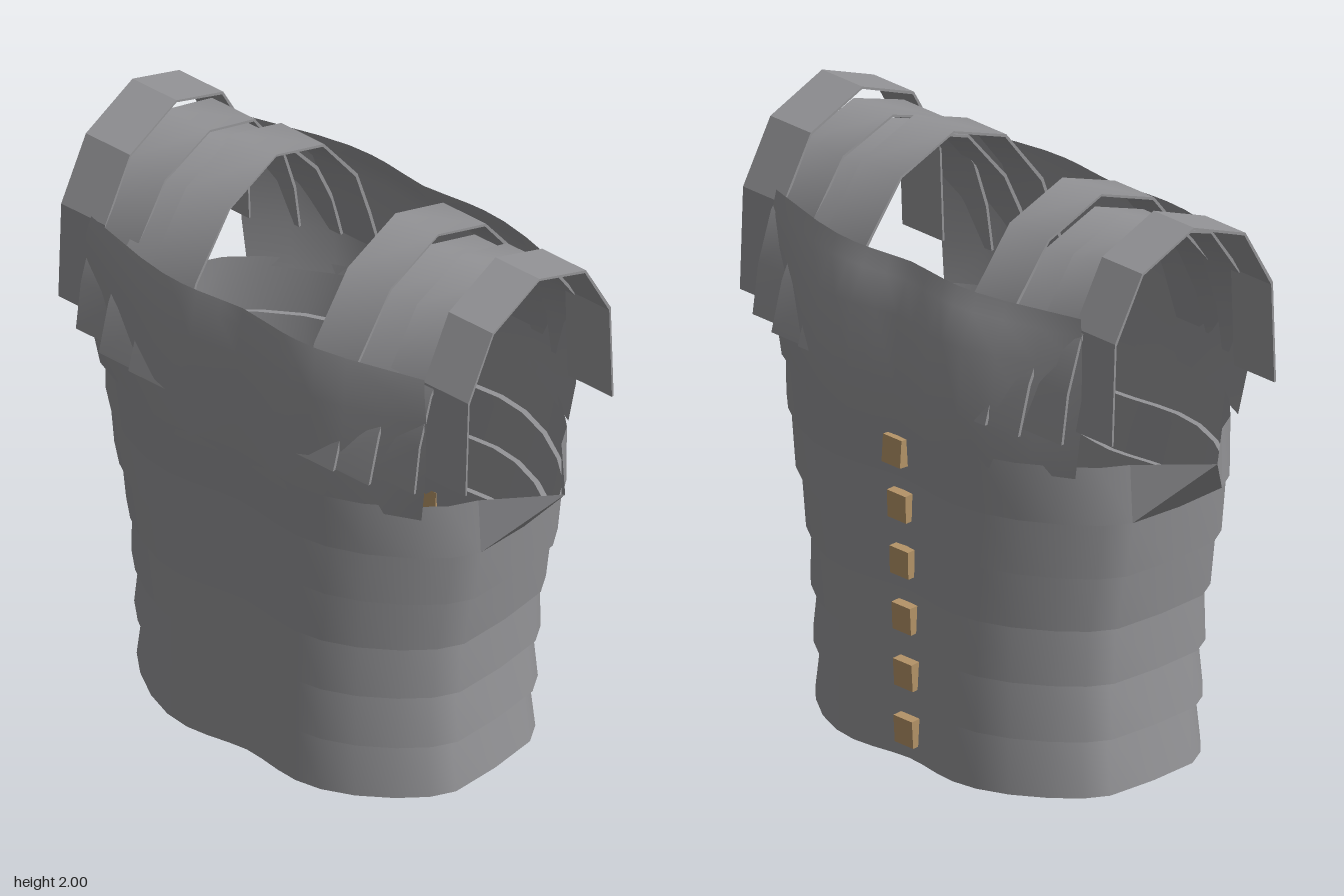
import * as THREE from 'three';
import { toCreasedNormals } from 'three/addons/utils/BufferGeometryUtils.js';

const ZC = 0.014; // depth centre of the body

const metal = () => new THREE.MeshStandardMaterial({ color: 0x949497, side: THREE.DoubleSide });

// Skin a sheet through rows of [x, y, z] points; closed joins each row into a ring.
function loft(name, rows, closed, skip = []) {
  const n = rows[0].length, index = [];
  for (let r = 0; r < rows.length - 1; r++) {
    for (let i = 0; i < (closed ? n : n - 1); i++) {
      if (skip.includes(i)) continue;
      const a = r * n + i, b = r * n + (i + 1) % n;
      index.push(a, b, a + n, b, b + n, a + n);
    }
  }
  const g = new THREE.BufferGeometry();
  g.setAttribute('position', new THREE.Float32BufferAttribute(rows.flat(2), 3));
  g.setIndex(index);
  g.computeVertexNormals();
  const mesh = new THREE.Mesh(g, metal());
  mesh.name = name;
  return mesh;
}

// Quarter of the waist outline, from the dented centre front round to the side
const QUARTER = [[0, 0.94], [0.1, 0.955], [0.22, 0.985], [0.34, 1], [0.48, 0.97], [0.64, 0.875],
  [0.8, 0.72], [0.92, 0.555], [0.985, 0.39], [1, 0]];
const LAST = QUARTER.length - 1;

function ring(w, d, y) {
  const half = [...QUARTER, ...QUARTER.slice(0, -1).reverse().map(([x, z]) => [x, -z])];
  const full = [...half, ...half.slice(1, -1).reverse().map(([x, z]) => [-x, z])];
  return full.map(([x, z]) => [x * w, y, z * d + ZC]);
}

// Girth bands: bottom width, top width, bottom depth, top depth (halves)
const BANDS = [
  [0.67, 0.645, 0.468, 0.455],
  [0.68, 0.66, 0.471, 0.457],
  [0.69, 0.69, 0.477, 0.466],
  [0.71, 0.74, 0.485, 0.48],
  [0.757, 0.785, 0.498, 0.49],
  [0.79, 0.785, 0.51, 0.525],
];

// Chest and back plates: y, half width, edge depth, greatest depth
const CHEST = [[1.17, 0.675, 0.385, 0.535], [1.33, 0.703, 0.4, 0.537], [1.57, 0.717, 0.41, 0.53],
  [1.68, 0.71, 0.41, 0.51], [1.74, 0.7, 0.4, 0.495]];
const BACK = [[1.17, 0.675, 0.34, 0.525], [1.33, 0.703, 0.345, 0.535], [1.57, 0.717, 0.35, 0.52],
  [1.68, 0.71, 0.345, 0.465], [1.74, 0.7, 0.34, 0.44]];
// Bulge across half a plate: position, share of the depth
const BULGE = [[0, 0.77], [0.12, 0.86], [0.25, 0.97], [0.34, 1], [0.46, 0.95], [0.62, 0.74], [0.8, 0.39], [1, 0]];

function plate(name, levels, dir) {
  const across = [...BULGE.slice(1).reverse().map(([t, f]) => [-t, f]), ...BULGE];
  return loft(name, levels.map(([y, w, edge, max]) =>
    across.map(([t, f]) => [t * w * dir, y, dir * (edge + (max - edge) * f)])), false);
}

// Shoulder straps: inner x, outer x, crease angle, then half profile [z, y] from hem to crown
const STRAPS = [
  [0.25, 0.43, 0.9, [[0.52, 1.33], [0.465, 1.51], [0.4, 1.69], [0.235, 1.895], [0, 1.98]]],
  [0.4, 0.567, 0.9, [[0.505, 1.33], [0.458, 1.5], [0.38, 1.66], [0.215, 1.85], [0, 1.927]]],
  [0.53, 0.71, 0.9, [[0.45, 1.33], [0.425, 1.5], [0.368, 1.67], [0.222, 1.872], [0, 1.947]]],
  [0.67, 0.855, 0.1, [[0.366, 1.345], [0.352, 1.7], [0.23, 1.91], [0, 2]]],
];

function strap([x0, x1, crease, half], side) {
  const arc = [...half, ...half.slice(0, -1).reverse().map(([z, y]) => [-z, y])];
  // Inner line of the thin strip
  const inner = arc.map(([z, y]) => [z * 0.977, y === half[0][1] ? y : y - 0.008]).reverse();
  const shape = new THREE.Shape([...arc, ...inner].map(([z, y]) => new THREE.Vector2(-z, y)));
  const g = new THREE.ExtrudeGeometry(shape, { depth: x1 - x0, bevelEnabled: false });
  g.rotateY(Math.PI / 2); // extrusion runs along x, profile along z
  g.translate(side > 0 ? x0 : -x1, 0, ZC);
  const mesh = new THREE.Mesh(toCreasedNormals(g, crease), metal());
  mesh.name = 'shoulderStrap';
  return mesh;
}

// Pointed side flare under the arm
function flare(side) {
  const [w0, w1, d0, d1] = BANDS[5];
  const [fx, fz] = QUARTER[LAST - 1];
  const apex = [0.963, 1.205, ZC], mid = [w0, 1, ZC];
  const top = s => [w1 * fx, 1.205, ZC + s * fz * d1];
  const low = s => [w0 * fx, 1, ZC + s * fz * d0];
  let tris = [[apex, top(1), low(1)], [apex, low(1), mid], [apex, mid, low(-1)], [apex, low(-1), top(-1)]];
  if (side < 0) tris = tris.map(t => t.map(([x, y, z]) => [-x, y, z]).reverse());
  const g = new THREE.BufferGeometry();
  g.setAttribute('position', new THREE.Float32BufferAttribute(tris.flat(2), 3));
  g.computeVertexNormals();
  const mesh = new THREE.Mesh(g, metal());
  mesh.name = side > 0 ? 'leftFlare' : 'rightFlare';
  return mesh;
}

export function createModel() {
  const model = new THREE.Group();
  model.name = 'bandedArmour';

  // Girth bands, each with a buckle at the centre back
  const sides = [LAST - 1, LAST, 3 * LAST - 1, 3 * LAST];
  BANDS.forEach(([w0, w1, d0, d1], i) => {
    const y0 = i * 0.2, y1 = i === 5 ? 1.205 : y0 + 0.2;
    model.add(loft('girthBand', [ring(w0, d0, y0), ring(w1, d1, y1)], true, i === 5 ? sides : []));

    // Lip under the hem, closing on the band below
    if (i > 0) {
      const [, wBelow, , dBelow] = BANDS[i - 1];
      model.add(loft('bandLip', [ring(wBelow, dBelow, y0), ring(w0, d0, y0)], true));
    }

    const buckle = new THREE.Mesh(new THREE.BoxGeometry(0.085, 0.095, 0.035),
      new THREE.MeshStandardMaterial({ color: 0xb59468 }));
    buckle.name = 'buckle';
    buckle.position.set(0, y0 + 0.1, ZC - 0.94 * (d0 + d1) / 2 - 0.015);
    buckle.rotation.x = Math.atan2(d0 - d1, 0.2) * -0.94;
    model.add(buckle);
  });

  model.add(plate('chestPlate', CHEST, 1), plate('backPlate', BACK, -1));

  // Shoulders and side flares
  for (const side of [1, -1]) {
    const shoulder = new THREE.Group();
    shoulder.name = side > 0 ? 'leftShoulder' : 'rightShoulder';
    STRAPS.forEach(s => shoulder.add(strap(s, side)));
    model.add(shoulder, flare(side));
  }
  return model;
}
